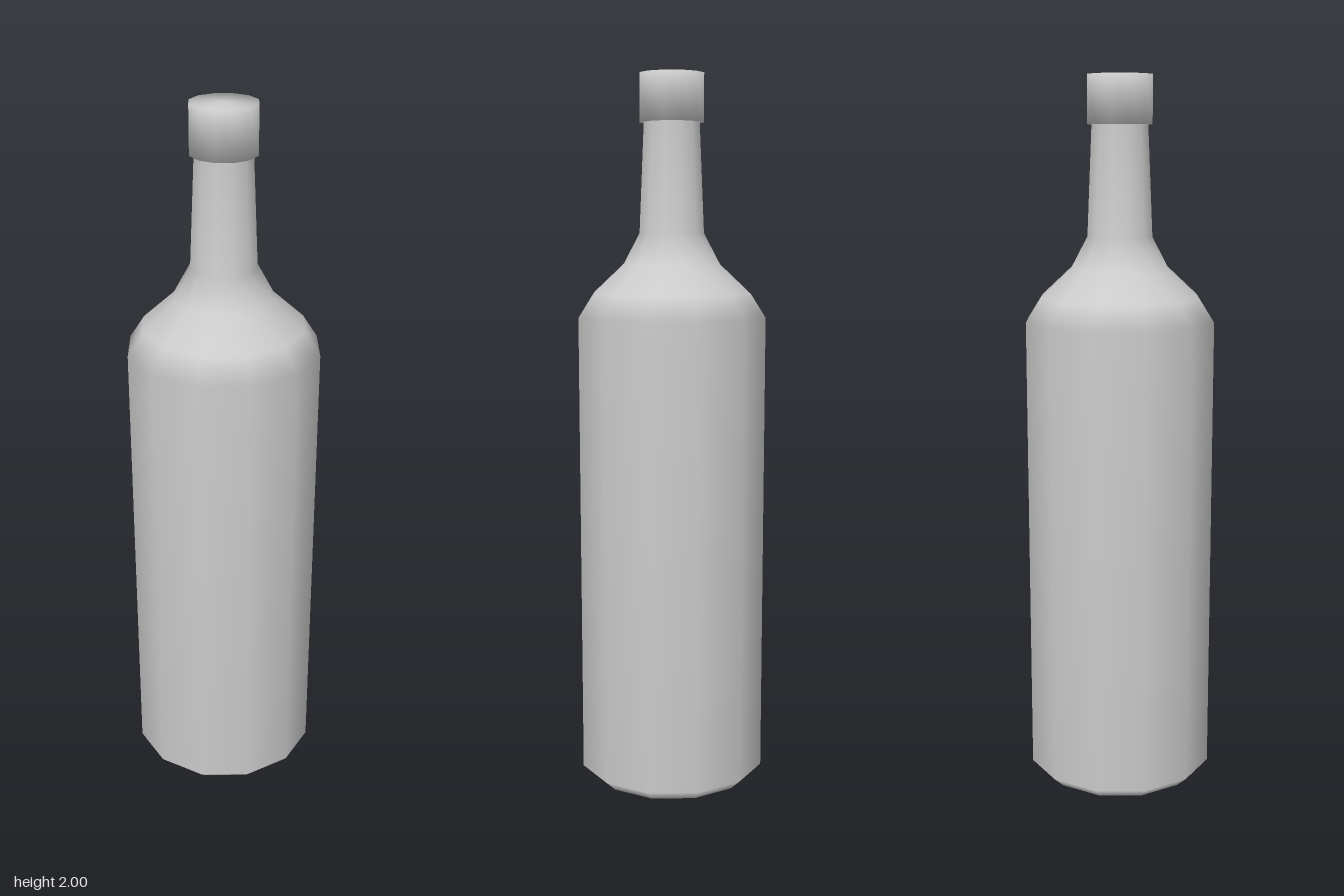
import * as THREE from 'three';

const SIDES = 12;

// Revolve a bottom-to-top [radius, height] profile with smooth normals
function turned(name, profile) {
  const points = profile.map(([r, y]) => new THREE.Vector2(r, y));
  const material = new THREE.MeshStandardMaterial({ color: 0xcccccc });
  const mesh = new THREE.Mesh(new THREE.LatheGeometry(points, SIDES), material);
  mesh.name = name;
  return mesh;
}

export function createModel() {
  const bottle = new THREE.Group();
  bottle.name = 'bottle';

  // Body with bevelled base, rounded shoulder and tapering neck
  bottle.add(turned('bottleBody', [
    [0, 0], [0.233, 0.005], [0.267, 0.037],
    [0.267, 1.34], [0.225, 1.405], [0.138, 1.485],
    [0.092, 1.57], [0.079, 1.87],
  ]));

  // Closed cap, slightly wider than the neck
  bottle.add(turned('cap', [
    [0, 1.87], [0.091, 1.87], [0.091, 2], [0, 2],
  ]));

  return bottle;
}
